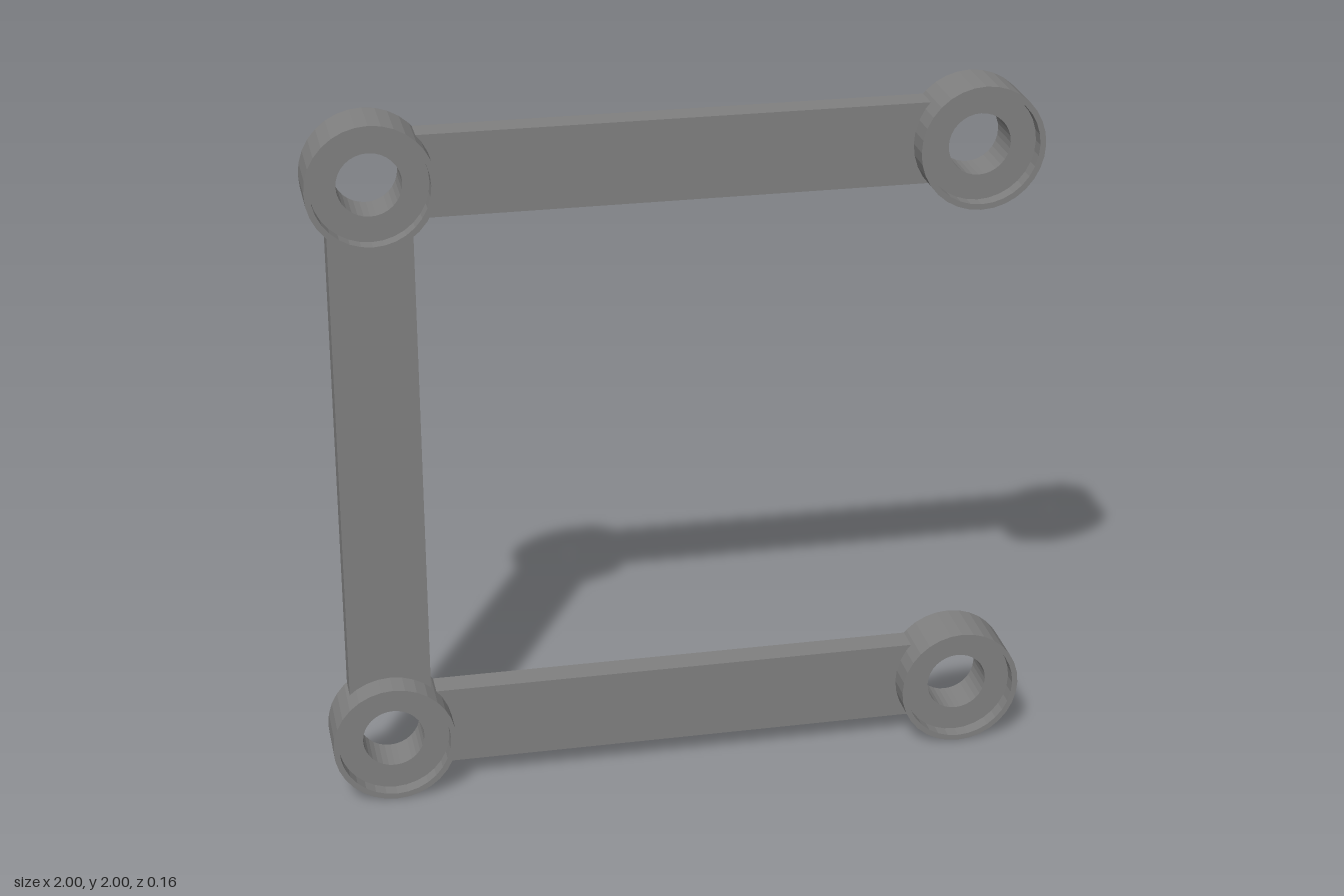
import * as THREE from 'three';

const C = 0.826;      // ring centre offset from the middle
const R = 0.174;      // ring outer radius
const HALF = 0.078;   // half depth of a ring
const BAR = 0.115;    // half width of a bar

// Ring with a through bore and a shallow recess in the front
function ringGeometry() {
  const profile = [
    [0.087, -HALF], [R, -HALF], [R, HALF], [0.158, HALF],
    [0.158, HALF - 0.04], [0.087, HALF - 0.04], [0.087, -HALF],
  ].map(([x, y]) => new THREE.Vector2(x, y));
  return new THREE.LatheGeometry(profile, 32).rotateX(Math.PI / 2);
}

// Flat bar along x whose ends are hollowed to meet the rings
function barGeometry() {
  const a = Math.asin(BAR / R), r = R - 0.001;
  const s = new THREE.Shape();
  s.moveTo(-C + r * Math.cos(a), -BAR);
  s.lineTo(C - r * Math.cos(a), -BAR);
  s.absarc(C, 0, r, Math.PI + a, Math.PI - a, true);
  s.lineTo(-C + r * Math.cos(a), BAR);
  s.absarc(-C, 0, r, a, -a, true);
  return new THREE.ExtrudeGeometry(s, { depth: HALF, bevelEnabled: false, curveSegments: 8 })
    .translate(0, 0, -HALF);
}

export function createModel() {
  const model = new THREE.Group();
  model.name = 'linkFrame';
  const grey = new THREE.MeshStandardMaterial({ color: 0x808080, flatShading: true });
  grey.name = 'grey';

  const add = (name, geometry, x, y, turn = 0) => {
    const mesh = new THREE.Mesh(geometry, grey);
    mesh.name = name;
    mesh.position.set(x, y, 0);
    mesh.rotation.z = turn;
    model.add(mesh);
  };

  const ring = ringGeometry();
  const bar = barGeometry();

  // Corner rings and the two horizontal bars
  for (const [level, y] of [['lower', 1 - C], ['upper', 1 + C]]) {
    add(level + 'RightRing', ring, -C, y);
    add(level + 'LeftRing', ring, C, y);
    add(level + 'Bar', bar, 0, y);
  }

  // Upright bar on the right side
  add('uprightBar', bar, -C, 1, Math.PI / 2);
  return model;
}
